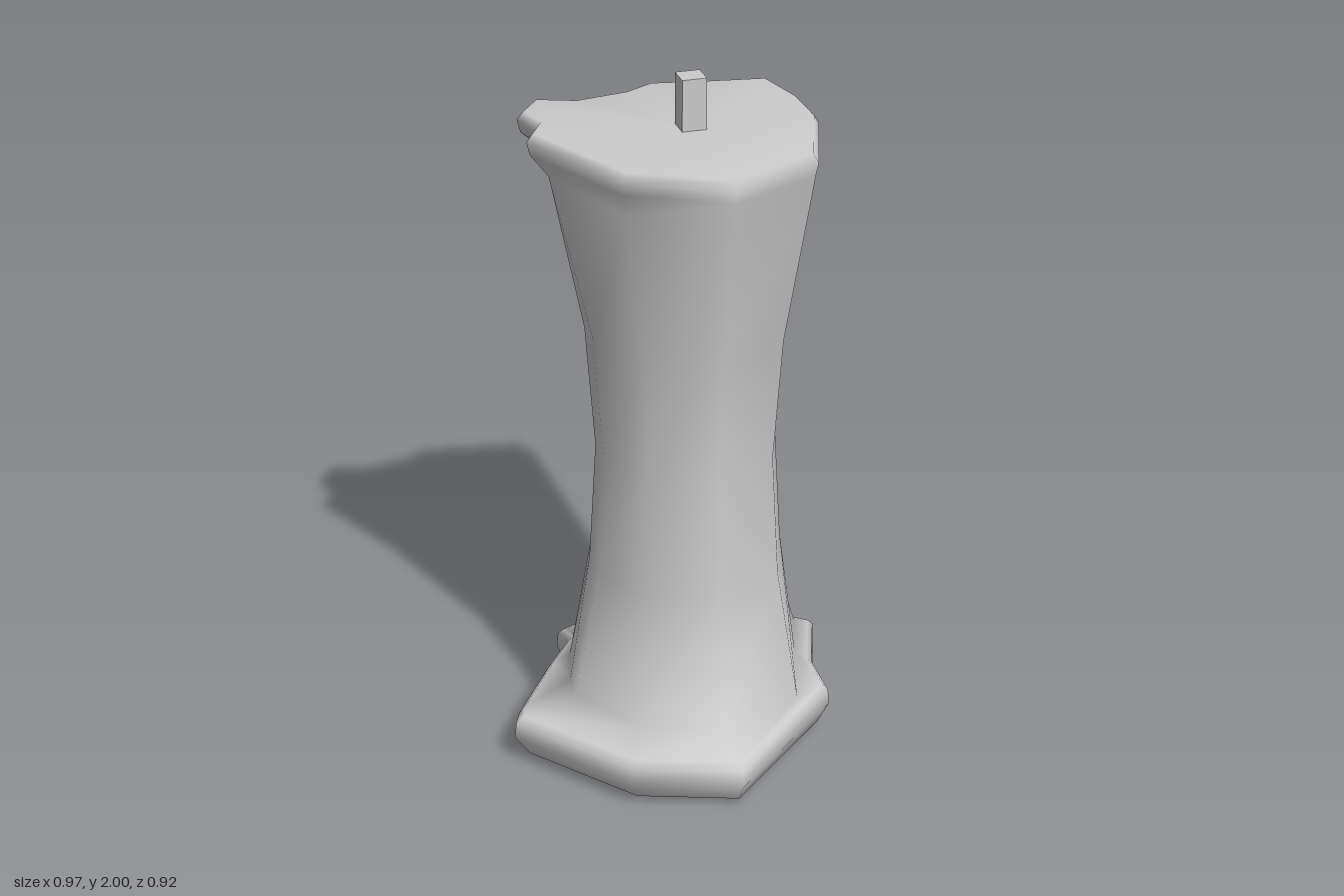
import * as THREE from 'three';

// Outlines as [x, z] corners, running from the front round by +x to the back
const TOP = [[.08, .36], [.33, .21], [.4, -.06], [.385, -.22], [.335, -.375], [.17, -.385], [.01, -.4],
  [-.07, -.345], [-.22, -.305], [-.33, -.335], [-.38, -.25], [-.345, -.16], [-.38, -.08], [-.185, .245]];
const NECK = [[.08, .345], [.315, .205], [.385, -.06], [.37, -.22], [.345, -.395], [.16, -.35], [.01, -.365],
  [-.07, -.33], [-.19, -.29], [-.25, -.27], [-.29, -.22], [-.31, -.15], [-.325, -.07], [-.175, .235]];
const FOOT = [[.08, .31], [.32, .17], [.37, -.06], [.41, -.23], [.33, -.3], [.18, -.35], [.03, -.41],
  [-.12, -.39], [-.22, -.32], [-.24, -.27], [-.28, -.18], [-.3, -.05], [-.3, .04], [-.15, .24]];
const BASE = [[.1, .455], [.435, .1], [.425, -.06], [.48, -.265], [.36, -.32], [.18, -.385], [.03, -.46],
  [-.15, -.44], [-.29, -.365], [-.265, -.32], [-.345, -.19], [-.47, .04], [-.485, .09], [-.2, .38]];
const ANGLES = [8, 52, 98, 120, 140, 162, 185, 202, 220, 235, 250, 267, 285, 325];

const CX = 0.04, CZ = -0.02;

// A ring of the outline at height y, scaled about the column axis
const ring = (outline, y, s = 1) =>
  outline.map(([x, z]) => [CX + (x - CX) * s, y, CZ + (z - CZ) * s]);

// A round ring whose corners line up with the outlines
const round = (r, y) => ANGLES.map((deg) => {
  const a = THREE.MathUtils.degToRad(deg);
  return [CX + r * Math.sin(a), y, CZ - 0.005 + r * Math.cos(a)];
});

// Joins rings from bottom to top and closes both ends
function loft(rings, bottomY, topY) {
  const n = rings[0].length;
  const pos = rings.flat(2);
  const index = [];
  for (let k = 0; k < rings.length - 1; k++) {
    for (let i = 0; i < n; i++) {
      const a = k * n + i, b = k * n + (i + 1) % n;
      index.push(a, b, b + n, a, b + n, a + n);
    }
  }
  const bottom = rings.length * n, top = bottom + 1, last = (rings.length - 1) * n;
  pos.push(CX, bottomY, CZ, CX, topY, CZ);
  for (let i = 0; i < n; i++) {
    const j = (i + 1) % n;
    index.push(bottom, j, i, top, last + i, last + j);
  }
  const g = new THREE.BufferGeometry();
  g.setAttribute('position', new THREE.Float32BufferAttribute(pos, 3));
  g.setIndex(index);
  g.computeVertexNormals();
  return g;
}

export function createModel() {
  const group = new THREE.Group();
  const material = new THREE.MeshStandardMaterial({ color: 0xcccccc, side: THREE.DoubleSide });

  // Lumpy base, waisted column and rolled top rim
  const body = new THREE.Mesh(loft([
    ring(BASE, 0.01, 0.87),
    ring(BASE, 0.025, 0.92),
    ring(BASE, 0.09),
    ring(BASE, 0.135, 0.99),
    ring(BASE, 0.155, 0.95),
    ring(FOOT, 0.175),
    round(0.28, 0.58),
    round(0.258, 0.94),
    round(0.283, 1.3),
    ring(NECK, 1.73),
    ring(TOP, 1.79, 0.98),
    ring(TOP, 1.825),
    ring(TOP, 1.85, 0.96),
  ], 0.005, 1.86), material);
  body.name = 'body';
  group.add(body);

  // Square wick
  const wick = new THREE.Mesh(new THREE.BoxGeometry(0.067, 0.2, 0.067), material);
  wick.name = 'wick';
  wick.position.set(0.045, 1.9, -0.023);
  wick.rotation.y = 0.09;
  group.add(wick);

  return group;
}
